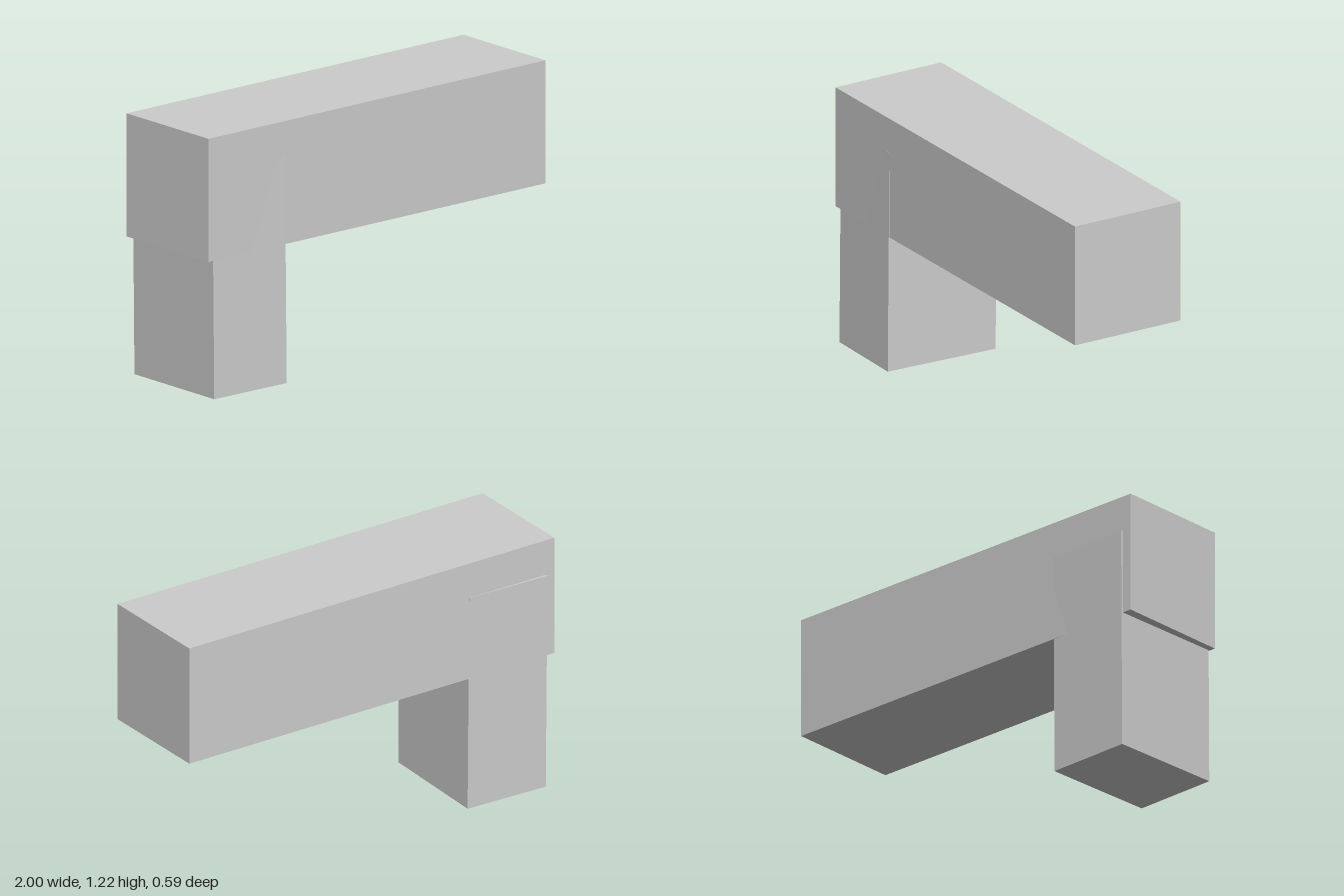
import * as THREE from 'three';

const material = new THREE.MeshStandardMaterial({ color: 0xcccccc, flatShading: true });

function block(name, size, position, rotation) {
  const mesh = new THREE.Mesh(new THREE.BoxGeometry(...size), material);
  mesh.name = name;
  mesh.position.set(...position);
  mesh.rotation.set(...rotation);
  return mesh;
}

export function createModel() {
  const group = new THREE.Group();
  group.name = 'beamOnPost';
  // Long horizontal beam, turned very slightly about the vertical
  group.add(block('beam', [1.996, 0.573, 0.561], [0, 0.939, 0.006], [0, -0.0065, 0]));
  // Post set into the beam near one end, a little out of true
  group.add(block('post', [0.42, 1.052, 0.564], [-0.748, 0.531, 0.0005], [-0.0095, -0.033, 0.002]));
  return group;
}
